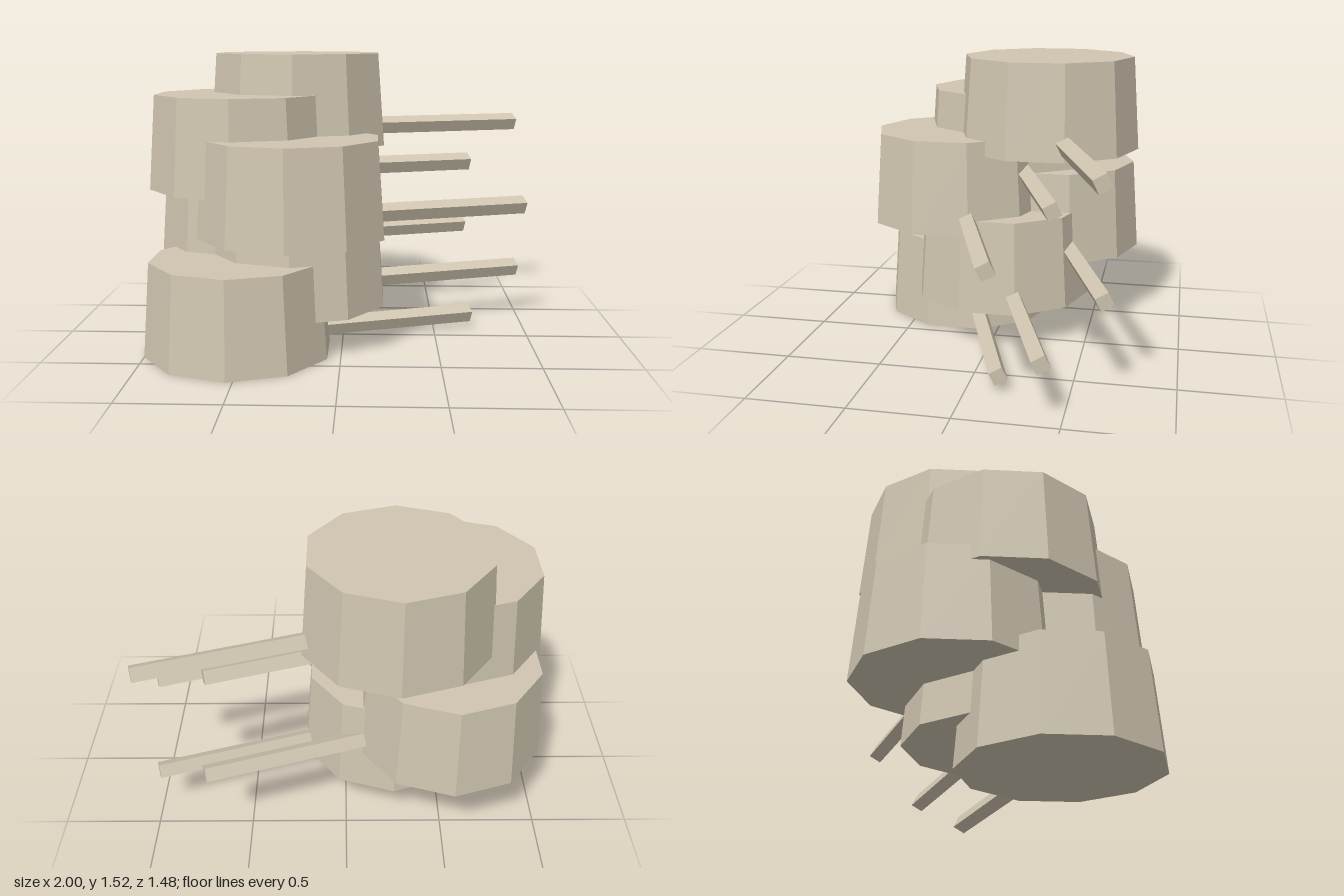
import * as THREE from 'three';

export function createModel() {
  const model = new THREE.Group();
  model.name = 'steppedDrums';
  const stone = new THREE.MeshStandardMaterial({ color: 0xcfc5b0, flatShading: true });
  stone.name = 'warm stone';

  const drumHeight = 0.49, step = 0.206, rodLength = 1.3, rodAngle = THREE.MathUtils.degToRad(18.3);
  const drumGeometry = new THREE.CylinderGeometry(0.454, 0.49, drumHeight, 10);
  drumGeometry.translate(0, drumHeight / 2, 0);

  // square rod running outward from the drum axis
  const rodGeometry = new THREE.BoxGeometry(rodLength, 0.07, 0.07);
  rodGeometry.translate(rodLength / 2, 0, 0);

  // drum centres (x, z), climbing from the ground
  const centres = [
    [-0.535, 0.248], [-0.25, 0], [-0.535, -0.248],
    [-0.25, 0.248], [-0.535, 0], [-0.25, -0.248],
  ];

  centres.forEach(([x, z], i) => {
    const tier = new THREE.Group();
    tier.name = `tier${i + 1}`;
    tier.position.set(x, i * step, z);

    const drum = new THREE.Mesh(drumGeometry, stone);
    drum.name = 'drum';

    const rod = new THREE.Mesh(rodGeometry, stone);
    rod.name = 'rod';
    rod.position.y = 0.082;
    rod.rotation.set(THREE.MathUtils.degToRad(26), rodAngle, 0, 'YXZ');

    tier.add(drum, rod);
    model.add(tier);
  });
  return model;
}
